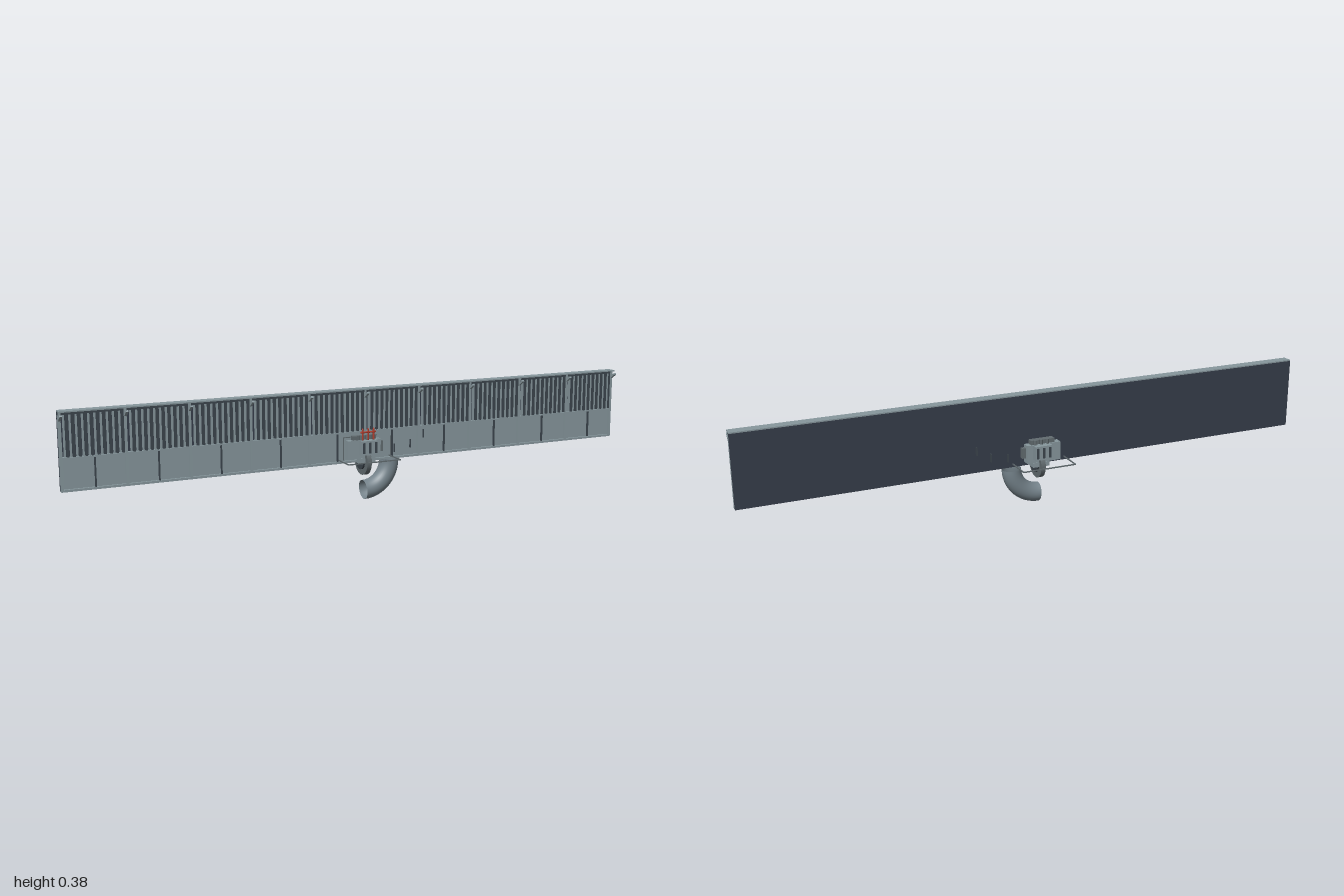
import * as THREE from 'three';

export function createModel() {
  const root = new THREE.Group();
  const mat = (name, color, side = THREE.FrontSide) => {
    const m = new THREE.MeshStandardMaterial({ color, side });
    m.name = name;
    return m;
  };
  const steel = mat('light steel', 0x87979d);
  const dark = mat('dark backing', 0x363d4a);
  const slatDark = mat('dark slat', 0x3c454d);
  const pipeGrey = mat('pipe grey', 0x75838b, THREE.DoubleSide);
  const casing = mat('casing grey', 0x626c70);
  const red = mat('red handle', 0xb03a2a);

  const add = (name, geo, m, x = 0, y = 0, z = 0, parent = root) => {
    const mesh = new THREE.Mesh(geo, m);
    mesh.name = name;
    mesh.position.set(x, y, z);
    parent.add(mesh);
    return mesh;
  };
  // box given by its limits on each axis
  const box = (name, m, x0, x1, y0, y1, z0, z1, parent) =>
    add(name, new THREE.BoxGeometry(x1 - x0, y1 - y0, z1 - z0), m,
      (x0 + x1) / 2, (y0 + y1) / 2, (z0 + z1) / 2, parent);
  const group = (name) => {
    const g = new THREE.Group();
    g.name = name;
    root.add(g);
    return g;
  };

  // long wall: dark back sheet, light lower sheet, rails and top cap
  box('backSheet', dark, -1, 1, 0.135, 0.376, -0.004, 0.004);
  box('lowerPanel', steel, -1, 1, 0.142, 0.234, 0.004, 0.010);
  box('bottomRail', steel, -1, 1, 0.135, 0.142, 0.004, 0.018);
  box('middleRail', steel, -1, 1, 0.234, 0.239, 0.004, 0.018);
  box('topCap', steel, -1, 1, 0.376, 0.38, -0.004, 0.031);
  box('topRail', slatDark, -1, 1, 0.367, 0.376, 0.004, 0.016);

  // uprights and slanted hooks at every bay edge
  const frame = group('frame');
  for (let i = 0; i <= 10; i++) {
    const x = THREE.MathUtils.clamp(-1 + i * 0.2, -0.996, 0.996);
    box('upright', steel, x - 0.004, x + 0.004, 0.135, 0.376, 0.004, 0.018, frame);
    const hook = add('hook', new THREE.BoxGeometry(0.008, 0.006, 0.027), steel, x, 0.36, 0.028, frame);
    hook.rotation.x = -0.62;
    if (i < 10) box('stiffener', slatDark, x + 0.098, x + 0.102, 0.142, 0.234, 0.010, 0.017, frame);
  }

  // vertical slats, alternating pale and dark
  const slats = group('slats');
  for (let bay = 0; bay < 10; bay++) {
    for (let i = 0; i < 10; i++) {
      const x = -1 + bay * 0.2 + 0.017 + i * 0.0185;
      box('paleSlat', steel, x - 0.0025, x + 0.0025, 0.239, 0.367, 0.004, 0.013, slats);
      box('darkSlat', slatDark, x + 0.005, x + 0.012, 0.239, 0.367, 0.004, 0.016, slats);
    }
  }

  // outlet elbow, a quarter bend open at both ends
  const bend = new THREE.CatmullRomCurve3(Array.from({ length: 13 }, (_, i) => {
    const a = (i / 12) * Math.PI / 2;
    return new THREE.Vector3(0.095 * Math.sin(a), 0.13 - 0.095 * Math.cos(a), 0);
  }));
  add('elbow', new THREE.TubeGeometry(bend, 32, 0.0325, 32), pipeGrey);

  // round pump casing and hub on the x axis
  const disc = (name, r, len, m, x) => {
    const g = new THREE.CylinderGeometry(r, r, len, 40);
    g.rotateZ(Math.PI / 2);
    return add(name, g, m, x, 0.136, 0);
  };
  disc('pumpCasing', 0.049, 0.016, casing, 0);
  disc('pumpHub', 0.03, 0.028, slatDark, 0);

  // machine body on both faces of the wall
  for (const s of [1, -1]) {
    const side = group(s > 0 ? 'frontMachine' : 'backMachine');
    const part = (name, m, x0, x1, y0, y1, z0, z1) =>
      box(name, m, x0, x1, y0, y1, Math.min(s * z0, s * z1), Math.max(s * z0, s * z1), side);
    part('bodyPlate', steel, -0.07, 0.05, 0.148, 0.21, 0.004, 0.03);
    part('bodyTop', casing, -0.05, 0.035, 0.21, 0.224, 0.004, 0.026);
    part('bodyFoot', steel, -0.03, 0.03, 0.132, 0.148, 0.004, 0.032);
    part('frontBox', steel, -0.03, 0.03, 0.162, 0.21, 0.03, 0.052);
    for (const x of [-0.022, 0, 0.022]) {
      add('knob', new THREE.CylinderGeometry(0.005, 0.005, 0.02, 12), casing, x, 0.216, s * 0.03, side);
      part('clamp', slatDark, x - 0.004, x + 0.004, 0.168, 0.204, 0.052, 0.0535);
    }
    part('sideValve', casing, 0.05, 0.064, 0.165, 0.2, 0.006, 0.02);
  }

  // red control levers joined by a bar
  const levers = group('controlLevers');
  for (const x of [-0.02, 0, 0.02]) {
    add('lever', new THREE.CapsuleGeometry(0.003, 0.034, 4, 10), red, x, 0.23, 0.037, levers);
  }
  const bar = add('leverBar', new THREE.CapsuleGeometry(0.003, 0.052, 4, 10), red, 0, 0.237, 0.037, levers);
  bar.rotation.z = Math.PI / 2;

  // thin guard frame around the machine
  const guard = group('guardFrame');
  for (const z of [-0.093, 0.091]) box('guardLong', casing, -0.097, 0.093, 0.144, 0.148, z - 0.0015, z + 0.0015, guard);
  for (const x of [-0.0955, 0.0915]) box('guardShort', casing, x - 0.0015, x + 0.0015, 0.144, 0.148, -0.093, 0.091, guard);
  box('guardPost', casing, 0.09, 0.093, 0.146, 0.215, 0.018, 0.021, guard);
  box('guardPost', casing, -0.083, -0.08, 0.146, 0.222, 0.018, 0.021, guard);
  box('guardTop', casing, -0.083, 0.04, 0.22, 0.223, 0.018, 0.021, guard);

  // small rods passing through the wall
  for (const [x, y] of [[0.11, 0.17], [0.17, 0.18], [0.22, 0.21]]) {
    box('rod', slatDark, x - 0.002, x + 0.002, y - 0.014, y + 0.014, -0.012, 0.014);
  }
  return root;
}
